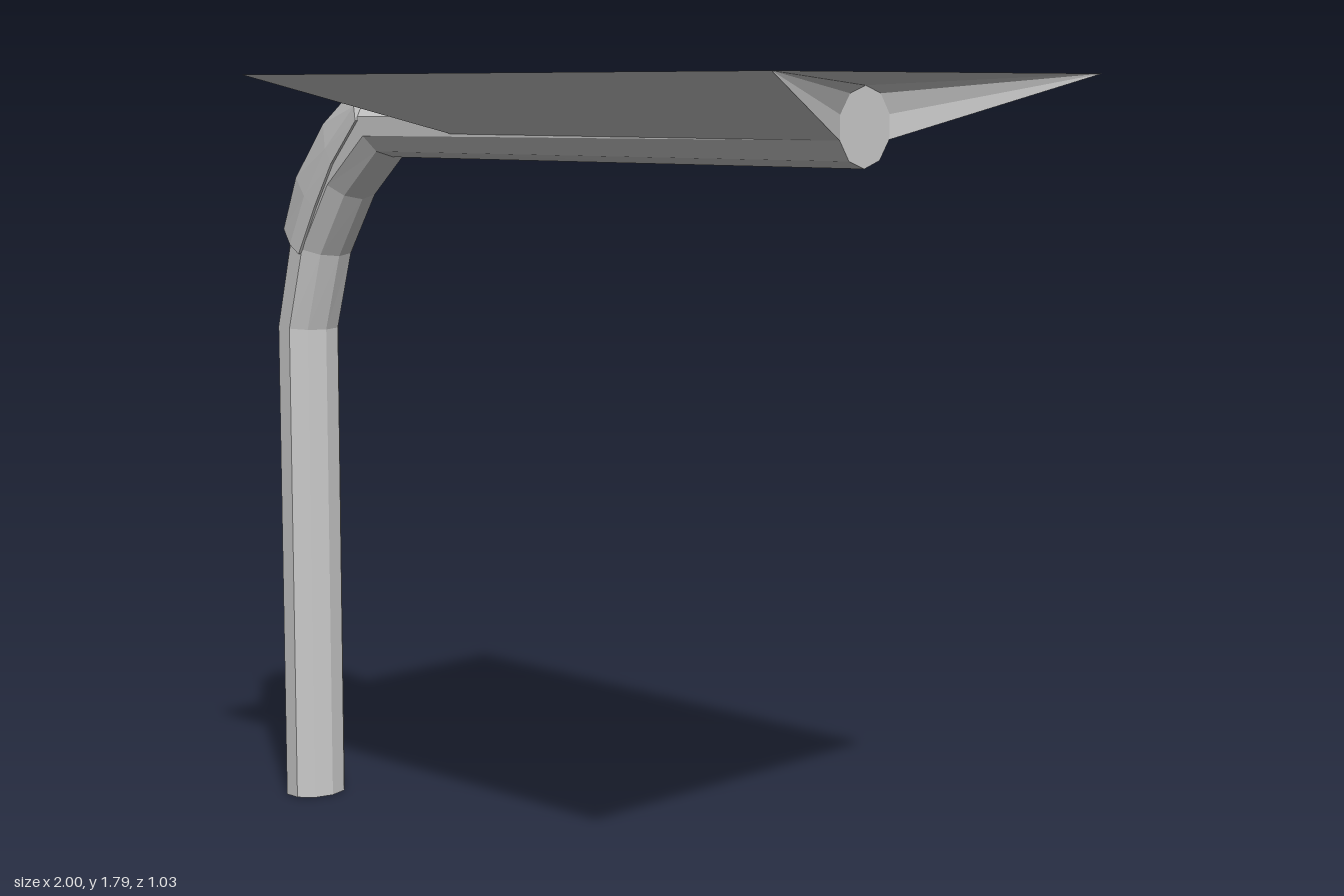
import * as THREE from 'three';

const material = new THREE.MeshStandardMaterial({ color: 0xcccccc, flatShading: true, side: THREE.DoubleSide });
const rad = THREE.MathUtils.degToRad;
const decagon = Array.from({ length: 10 }, (_, i) => i * 36);

// Mesh from a list of triangles, each three Vector3 corners
function facetMesh(name, points) {
  const geometry = new THREE.BufferGeometry().setFromPoints(points);
  geometry.computeVertexNormals();
  const mesh = new THREE.Mesh(geometry, material);
  mesh.name = name;
  return mesh;
}

// Point on an elliptical section: ax, ay is the axis and ox, oy the outer edge
function sectionPoint([ox, oy, ax, ay], halfWidth, angle) {
  const c = Math.cos(rad(angle));
  return new THREE.Vector3(ax + (ox - ax) * c, ay + (oy - ay) * c, halfWidth * Math.sin(rad(angle)));
}

// Closed loft through sections that share the same angles
function loft(name, sections, halfWidth, angles) {
  const rings = sections.map(s => angles.map(a => sectionPoint(s, halfWidth, a)));
  const n = angles.length, tris = [];
  for (let k = 0; k < rings.length - 1; k++) {
    const lower = rings[k], upper = rings[k + 1];
    for (let i = 0; i < n; i++) {
      const j = (i + 1) % n;
      tris.push(lower[i], lower[j], upper[j], lower[i], upper[j], upper[i]);
    }
  }
  const first = rings[0], last = rings[rings.length - 1];
  for (let i = 1; i < n - 1; i++) {
    tris.push(first[0], first[i + 1], first[i], last[0], last[i], last[i + 1]);
  }
  return facetMesh(name, tris);
}

// Flat-topped canopy whose underside slopes in to the pipe
function makeCanopy() {
  const corner = (end, side) => new THREE.Vector3(end > 0 ? 1 : -0.507, 1.79, side * 0.515);
  const arc = (end, angle) => {
    const x = end > 0 ? 0.8 : -0.32;
    return sectionPoint([x, 1.766, x, 1.685], 0.081, angle);
  };
  const tris = [];
  const add = (flip, a, b, c) => tris.push(a, ...(flip ? [c, b] : [b, c]));

  // top sheet
  add(false, corner(-1, 1), corner(1, 1), corner(1, -1));
  add(false, corner(-1, 1), corner(1, -1), corner(-1, -1));

  for (const side of [1, -1]) {
    // long sloping underside
    add(side < 0, corner(-1, side), arc(-1, 108 * side), arc(1, 108 * side));
    add(side < 0, corner(-1, side), arc(1, 108 * side), corner(1, side));
    // fans from each corner to the pipe's upper edges
    for (const end of [1, -1]) {
      for (const a of [108, 72, 36]) {
        add(side * end < 0, corner(end, side), arc(end, a * side), arc(end, (a - 36) * side));
      }
    }
  }
  // end triangles over the pipe
  for (const end of [1, -1]) add(end < 0, corner(end, 1), arc(end, 0), corner(end, -1));
  return facetMesh('canopy', tris);
}

export function createModel() {
  const group = new THREE.Group();
  group.name = 'bentPoleWithCanopy';

  // Upright, bend and arm: outer edge and inner edge of each section
  const pipe = [
    [-1, 0, -0.866, 0],
    [-1, 1.19, -0.864, 1.178],
    [-0.948, 1.41, -0.81, 1.36],
    [-0.83, 1.6, -0.72, 1.5],
    [-0.66, 1.747, -0.606, 1.602],
    [0.8, 1.766, 0.8, 1.604],
  ].map(([ox, oy, ix, iy]) => [ox, oy, (ox + ix) / 2, (oy + iy) / 2]);
  group.add(loft('pipe', pipe, 0.081, decagon));

  // Half sleeve over the outside of the bend
  const sleeve = [
    [-0.985, 1.435, -0.862, 1.366],
    [-0.937, 1.564, -0.8, 1.48],
    [-0.82, 1.7, -0.735, 1.585],
    [-0.675, 1.795, -0.643, 1.687],
  ];
  group.add(loft('bendSleeve', sleeve, 0.084, [-90, -72, -36, 0, 36, 72, 90]));

  group.add(makeCanopy());
  return group;
}
